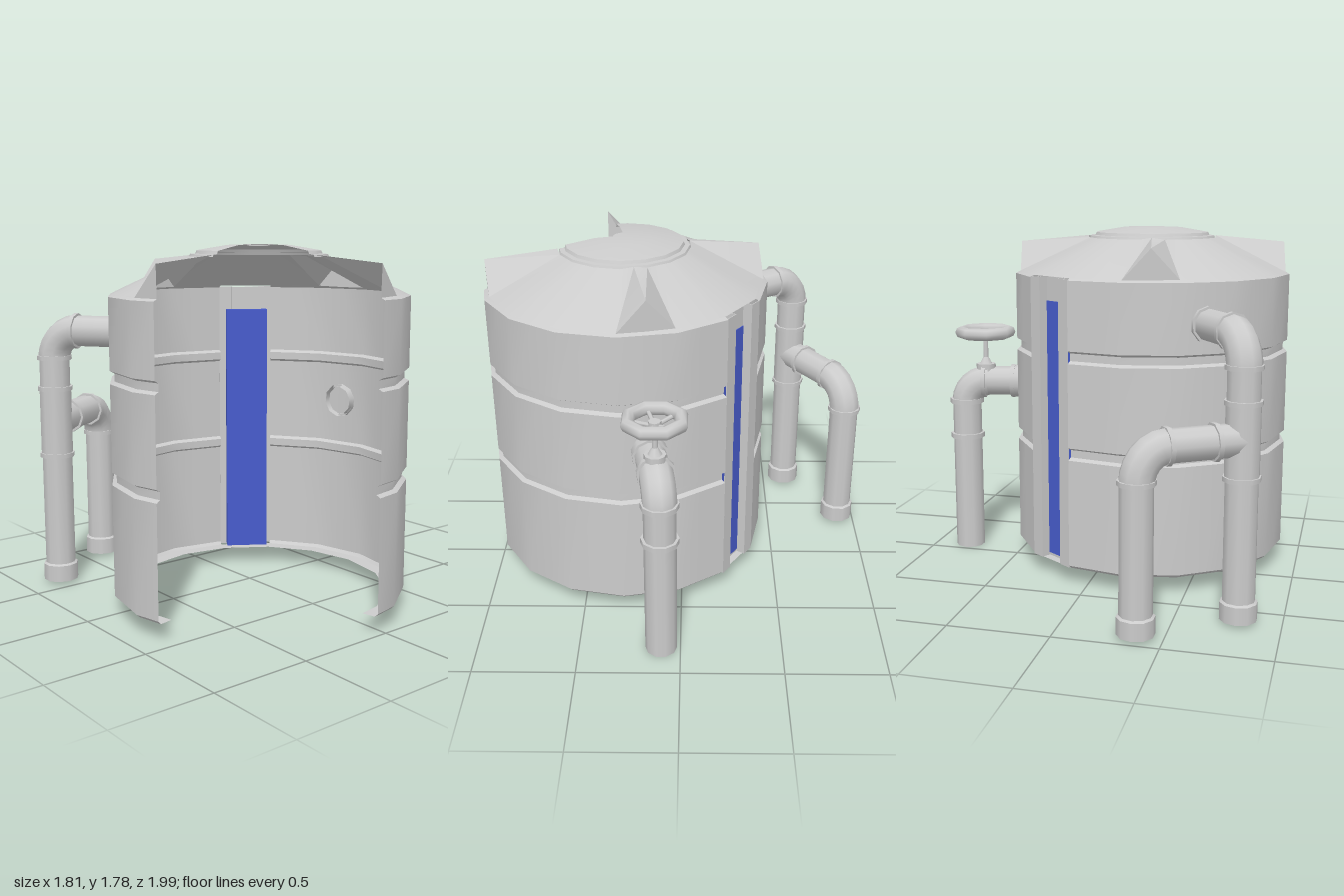
import * as THREE from 'three';
import { toCreasedNormals } from 'three/addons/utils/BufferGeometryUtils.js';

const grey = new THREE.MeshStandardMaterial({ color: 0xcccccc, side: THREE.DoubleSide });
const blue = new THREE.MeshStandardMaterial({ color: 0x485ccc });
const STEP = 22.5, HALF = 11.25;
const START = 168.75, END = 438.75; // the quarter between END and START is cut away
const GAUGE = 303.75, INLET = 236.25, VALVE = 348.75;

// point around the tank axis: angle in degrees, radius, height
const at = (deg, r, y) => {
  const a = THREE.MathUtils.degToRad(deg);
  return new THREE.Vector3(r * Math.cos(a), y, r * Math.sin(a));
};
const isMid = (a) => Math.abs((a / HALF) % 2) === 1;
// radius factor that keeps the sixteen-sided outline straight at mid-facet
const flat = (a) => (isMid(a) ? Math.cos(THREE.MathUtils.degToRad(HALF)) : 1);

function range(from, to) {
  const out = [];
  for (let a = from; a <= to + 0.01; a += HALF) out.push(a);
  return out;
}

// surface swept round the axis; profile(angle) lists [radius, height] going upwards
function sweep(name, angles, profile, crease = 0.6) {
  const rows = angles.map((a) => profile(a).map(([r, y]) => at(a, r, y)));
  const pos = [];
  const tri = (a, b, c) => {
    const n = b.clone().sub(a).cross(c.clone().sub(a));
    if (n.length() > 1e-7) for (const p of [a, b, c]) pos.push(p.x, p.y, p.z);
  };
  for (let i = 0; i + 1 < rows.length; i++) {
    for (let j = 0; j + 1 < rows[i].length; j++) {
      tri(rows[i][j], rows[i][j + 1], rows[i + 1][j]);
      tri(rows[i][j + 1], rows[i + 1][j + 1], rows[i + 1][j]);
    }
  }
  const g = new THREE.BufferGeometry();
  g.setAttribute('position', new THREE.Float32BufferAttribute(pos, 3));
  const mesh = new THREE.Mesh(toCreasedNormals(g, crease), grey);
  mesh.name = name;
  return mesh;
}

// straight round part between two points
function rod(name, a, b, r, sides = 10, open = true, r2 = r) {
  const d = b.clone().sub(a);
  const mesh = new THREE.Mesh(new THREE.CylinderGeometry(r2, r, d.length(), sides, 1, open), grey);
  mesh.position.copy(a).add(b).multiplyScalar(0.5);
  mesh.quaternion.setFromUnitVectors(new THREE.Vector3(0, 1, 0), d.normalize());
  mesh.name = name;
  return mesh;
}

// thin ring round a pipe
function collar(p, dir, r = 0.09, h = 0.022) {
  const d = dir.clone().normalize().multiplyScalar(h / 2);
  return rod('collar', p.clone().sub(d), p.clone().add(d), r, 10, false);
}

function elbow(a, corner, b, r) {
  const k = 0.56;
  const curve = new THREE.CubicBezierCurve3(a, a.clone().lerp(corner, k), b.clone().lerp(corner, k), b);
  const mesh = new THREE.Mesh(new THREE.TubeGeometry(curve, 6, r, 10), grey);
  mesh.name = 'elbow';
  return mesh;
}

function makeTank() {
  const tank = new THREE.Group();
  tank.name = 'tank';
  const R = 0.725, G = 0.703;
  const foot = [[0.64, 0.085], [0.71, 0.085], [R, 0.1]];
  const top = [[R, 1.54], [0.705, 1.55]];
  const grooves = [0.65, 1.135].flatMap((y) => [[R, y], [G, y + 0.012], [G, y + 0.05], [R, y + 0.062]]);
  const scaled = (pts) => (a) => pts.map(([r, y]) => [r * flat(a), y]);

  // grooved walls either side of the gauge facet
  tank.add(sweep('wall', range(START, GAUGE - HALF), scaled([...foot, ...grooves, ...top])));
  tank.add(sweep('wall', range(GAUGE + HALF, END), scaled([...foot, ...grooves, ...top])));

  // plain facet with a full-height recessed channel
  const gauge = new THREE.Group();
  gauge.name = 'levelGauge';
  gauge.position.copy(at(GAUGE, R * flat(HALF), 0));
  gauge.rotation.y = Math.PI / 2 - THREE.MathUtils.degToRad(GAUGE);
  const box = (name, w, h, d, x, y, z, mat = grey) => {
    const m = new THREE.Mesh(new THREE.BoxGeometry(w, h, d), mat);
    m.position.set(x, y, z);
    m.name = name;
    gauge.add(m);
  };
  for (const s of [-1, 1]) {
    box('channelFlank', 0.07, 1.455, 0.004, s * 0.107, 0.8175, -0.002);
    box('channelSide', 0.004, 1.455, 0.05, s * 0.074, 0.8175, -0.025);
  }
  box('channelBack', 0.148, 1.455, 0.004, 0, 0.8175, -0.052);
  box('gaugeStrip', 0.22, 1.32, 0.055, 0, 0.765, -0.0735, blue);
  tank.add(gauge);
  tank.add(sweep('bottomLip', [GAUGE - HALF, GAUGE, GAUGE + HALF], scaled([[0.64, 0.085], [0.71, 0.085]])));

  // conical roof with four tent-shaped ribs
  const roof = (a) => {
    const k = flat(a);
    const rib = Math.abs((a - 78.75) % 90) < 0.01;
    return rib
      ? [[0.705 * k, 1.55], [0.695, 1.70], [0.335, 1.732]]
      : [[0.705 * k, 1.55], [0.70 * k, 1.553], [0.335 * k, 1.722]];
  };
  tank.add(sweep('roof', range(START, END), roof));

  // shallow lid
  const lid = [[0.335, 1.722], [0.33, 1.733], [0.305, 1.735], [0.298, 1.75], [0.15, 1.775], [0, 1.78]];
  tank.add(sweep('lid', range(START, END), scaled(lid), 0.4));
  const boss = new THREE.Mesh(new THREE.CylinderGeometry(0.055, 0.055, 0.006, 16), grey);
  boss.position.y = 1.774;
  boss.name = 'lidCentre';
  tank.add(boss);
  return tank;
}

function makeInlet() {
  const g = new THREE.Group();
  g.name = 'inletPipes';
  const r = 0.078, up = new THREE.Vector3(0, 1, 0);
  const out = at(INLET, 1, 0), side = at(INLET + 90, 1, 0);
  const onMain = (y) => at(INLET, 1.1, y);
  const onBranch = (d, y = 0.87) => onMain(y).addScaledVector(side, d);

  // upper run, elbow and main riser
  g.add(rod('inlet', at(INLET, 0.68, 1.34), at(INLET, 0.97, 1.34), r));
  g.add(collar(at(INLET, 0.72, 1.34), out), collar(at(INLET, 0.97, 1.34), out));
  g.add(elbow(at(INLET, 0.96, 1.34), onMain(1.34), onMain(1.19), 0.083));
  g.add(rod('mainRiser', onMain(0.02), onMain(1.2), r));
  for (const y of [0.69, 1.04, 1.2]) g.add(collar(onMain(y), up));
  g.add(rod('teeBody', onMain(0.69), onMain(1.04), 0.082));

  // side branch and second riser
  g.add(rod('branch', onBranch(0), onBranch(0.37), r));
  g.add(collar(onBranch(0.14), side), collar(onBranch(0.37), side));
  g.add(elbow(onBranch(0.37), onBranch(0.51), onBranch(0.51, 0.71), 0.083));
  g.add(rod('branchRiser', onBranch(0.51, 0.02), onBranch(0.51, 0.73), r));
  g.add(collar(onBranch(0.51, 0.72), up));

  // end sleeves
  for (const d of [0, 0.51]) {
    g.add(rod('endSleeve', onBranch(d, 0.015), onBranch(d, 0.1), 0.09));
    g.add(rod('sleeveShoulder', onBranch(d, 0.1), onBranch(d, 0.108), 0.09, 10, true, r));
  }
  return g;
}

function makeValve() {
  const g = new THREE.Group();
  g.name = 'outletValve';
  const r = 0.078, up = new THREE.Vector3(0, 1, 0), out = at(VALVE, 1, 0);
  const H = 0.94, D = 1.015, W = 0.905;

  // outlet run, elbow and down pipe
  g.add(rod('outlet', at(VALVE, 0.68, H), at(VALVE, 0.92, H), r));
  g.add(rod('flange', at(VALVE, 0.69, H), at(VALVE, 0.76, H), 0.088));
  g.add(collar(at(VALVE, 0.755, H), out), collar(at(VALVE, 0.915, H), out, 0.093));
  g.add(elbow(at(VALVE, 0.89, H), at(VALVE, D, H), at(VALVE, D, 0.82), 0.083));
  g.add(rod('downPipe', at(VALVE, D, 0), at(VALVE, D, 0.84), r));
  for (const y of [0.635, 0.83]) g.add(collar(at(VALVE, D, y), up, 0.092, 0.026));

  // stem and hand wheel
  g.add(rod('stemBase', at(VALVE, W, 0.99), at(VALVE, W, 1.035), 0.052, 10, false));
  g.add(rod('stemCone', at(VALVE, W, 1.035), at(VALVE, W, 1.07), 0.035, 8, false, 0.015));
  g.add(rod('stem', at(VALVE, W, 1.03), at(VALVE, W, 1.2), 0.014, 8, false));
  g.add(rod('hub', at(VALVE, W, 1.165), at(VALVE, W, 1.205), 0.03, 8, false));
  const wheel = new THREE.Mesh(new THREE.TorusGeometry(0.13, 0.033, 8, 8), grey);
  wheel.rotation.set(Math.PI / 2, 0, Math.PI / 8);
  wheel.position.copy(at(VALVE, W, 1.208));
  wheel.name = 'handWheel';
  g.add(wheel);
  for (let i = 0; i < 5; i++) {
    const end = at(VALVE, W, 1.205).add(at(i * 72 + 18, 0.12, 0));
    g.add(rod('spoke', at(VALVE, W, 1.18), end, 0.011, 6));
  }
  return g;
}

export function createModel() {
  const model = new THREE.Group();
  model.name = 'waterTank';
  const assembly = new THREE.Group();
  assembly.name = 'tankAssembly';
  assembly.position.set(-0.185, 0, 0.293);
  assembly.add(makeTank(), makeInlet(), makeValve());
  model.add(assembly);
  return model;
}
